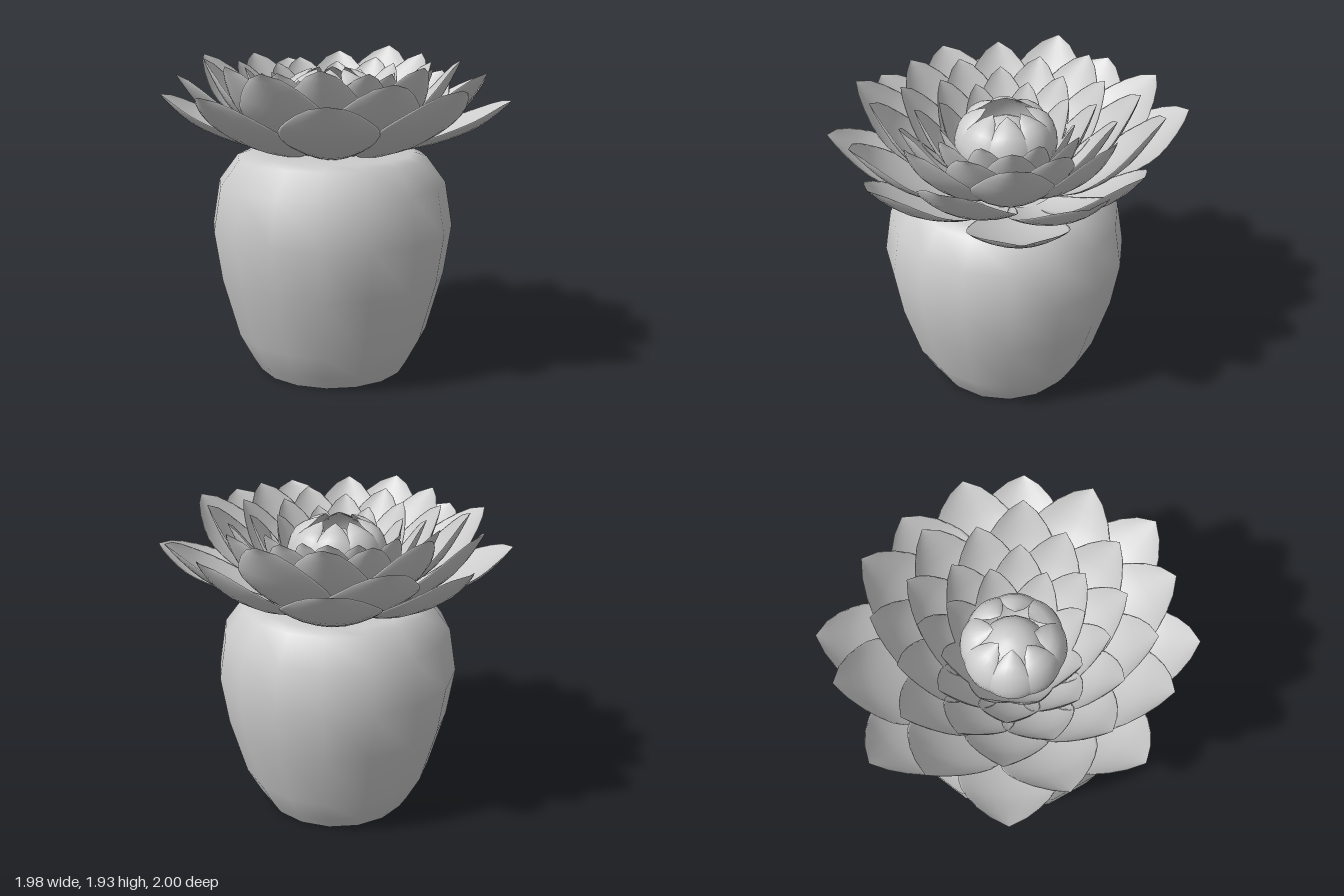
import * as THREE from 'three';
import { ParametricGeometry } from 'three/addons/geometries/ParametricGeometry.js';

const material = new THREE.MeshStandardMaterial({ color: 0xcccccc, side: THREE.DoubleSide });
const POT_TOP = 1.36;

function add(parent, name, geometry) {
  const mesh = new THREE.Mesh(geometry, material);
  mesh.name = name;
  parent.add(mesh);
  return mesh;
}

// Outline of a leaf: narrow base, widest past the middle, blunt point
function outline(t) {
  if (t < 0.55) return 0.45 + 0.55 * Math.sin((Math.PI / 2) * (t / 0.55));
  return Math.max(0.01, Math.cos((Math.PI / 2) * ((t - 0.55) / 0.45)) ** 0.85);
}

// Thin cupped leaf pointing along +x; its midrib runs through [radius, height] points
function leafGeometry(points, width, cup) {
  const rib = new THREE.SplineCurve(points.map(([r, y]) => new THREE.Vector2(r, y - POT_TOP)));
  return new ParametricGeometry((u, v, target) => {
    const p = rib.getPoint(u);
    const tangent = rib.getTangent(u);
    const side = Math.cos(v * Math.PI * 2);
    const half = (width / 2) * outline(u);
    const lift = cup * half * side * side + 0.011 * outline(u) * Math.sin(v * Math.PI * 2);
    target.set(p.x - tangent.y * lift, p.y + tangent.x * lift, half * side);
  }, 12, 20);
}

// Midrib that leaves the base flat and steepens toward the tip
function risingRib([r0, y0], [r1, y1]) {
  return [[0, 0], [0.36, 0.19], [0.72, 0.53], [1, 1]]
    .map(([a, b]) => [r0 + a * (r1 - r0), y0 + b * (y1 - y0)]);
}

// Slightly uneven outer rings, one [x, z, height] per leaf tip
const unevenRings = [
  { name: 'outerLeaf', width: 0.55, cup: 0.25, base: [0.35, 1.36], tips: [
    [0.98, 0.42, 1.67], [0.38, 1.0, 1.81], [-0.36, 0.98, 1.75], [-0.91, 0.45, 1.76],
    [-0.99, -0.33, 1.7], [-0.46, -0.92, 1.78], [0.33, -1.0, 1.77], [0.87, -0.35, 1.79]] },
  { name: 'secondLeaf', width: 0.54, cup: 0.27, base: [0.3, 1.37], tips: [
    [0.99, 0.05, 1.78], [0.66, 0.72, 1.87], [0.01, 0.97, 1.85], [-0.63, 0.7, 1.9],
    [-0.95, 0.01, 1.85], [-0.65, -0.66, 1.91], [0, -0.98, 1.85], [0.61, -0.64, 1.94]] },
];

// Even inner rings of eight leaves, from the outside in
const H = Math.PI / 8;
const evenRings = [
  { name: 'thirdLeaf', offset: H, width: 0.47, cup: 0.3, rib: risingRib([0.25, 1.38], [0.77, 1.91]) },
  { name: 'fourthLeaf', offset: 0, width: 0.4, cup: 0.3, rib: risingRib([0.2, 1.38], [0.65, 1.88]) },
  { name: 'fifthLeaf', offset: H, width: 0.34, cup: 0.3, rib: risingRib([0.16, 1.38], [0.52, 1.86]) },
  { name: 'innerLeaf', offset: 0, width: 0.28, cup: 0.3, rib: risingRib([0.13, 1.38], [0.41, 1.82]) },
  { name: 'budLeaf', offset: H, width: 0.27, cup: 0.3, rib: [[0.1, 1.4], [0.24, 1.5], [0.29, 1.64], [0.24, 1.79], [0.11, 1.86]] },
];

export function createModel() {
  const model = new THREE.Group();
  model.name = 'pottedSucculent';

  // Rounded pot with a flat base
  const pot = new THREE.Group();
  pot.name = 'pot';
  pot.position.set(-0.02, 0, 0.03);
  model.add(pot);
  const profile = [[0.455, 0.01], [0.505, 0.09], [0.59, 0.25], [0.69, 0.61], [0.735, 0.91], [0.69, 1.18],
    [0.575, 1.335], [0.5, 1.36], [0.4, 1.37], [0.001, 1.38]];
  add(pot, 'potBody', new THREE.LatheGeometry(profile.map(([r, y]) => new THREE.Vector2(r, y)), 16));
  const base = add(pot, 'potBase', new THREE.CircleGeometry(0.455, 16));
  base.rotation.x = Math.PI / 2;
  base.rotation.z = Math.PI / 2;
  base.position.y = 0.01;

  // Wide outer leaves, each aimed at its own tip
  const rosette = new THREE.Group();
  rosette.name = 'rosette';
  rosette.position.y = POT_TOP;
  model.add(rosette);
  for (const { name, width, cup, base: root, tips } of unevenRings) {
    for (const [x, z, y] of tips) {
      const rib = risingRib(root, [Math.hypot(x, z), y]);
      const leaf = add(rosette, name, leafGeometry(rib, width, cup));
      leaf.rotation.y = -Math.atan2(z, x);
    }
  }

  // Inner leaves and bud
  const centre = new THREE.Group();
  centre.name = 'centreLeaves';
  centre.position.set(-0.02, 0, 0.02);
  rosette.add(centre);
  for (const { name, offset, width, cup, rib } of evenRings) {
    const geometry = leafGeometry(rib, width, cup);
    for (let i = 0; i < 8; i++) {
      const leaf = add(centre, name, geometry);
      leaf.rotation.y = offset + (i * Math.PI) / 4;
    }
  }

  // Closed heart inside the bud
  const heart = add(centre, 'heart', new THREE.SphereGeometry(0.19, 16, 10));
  heart.position.y = 0.24;
  return model;
}
